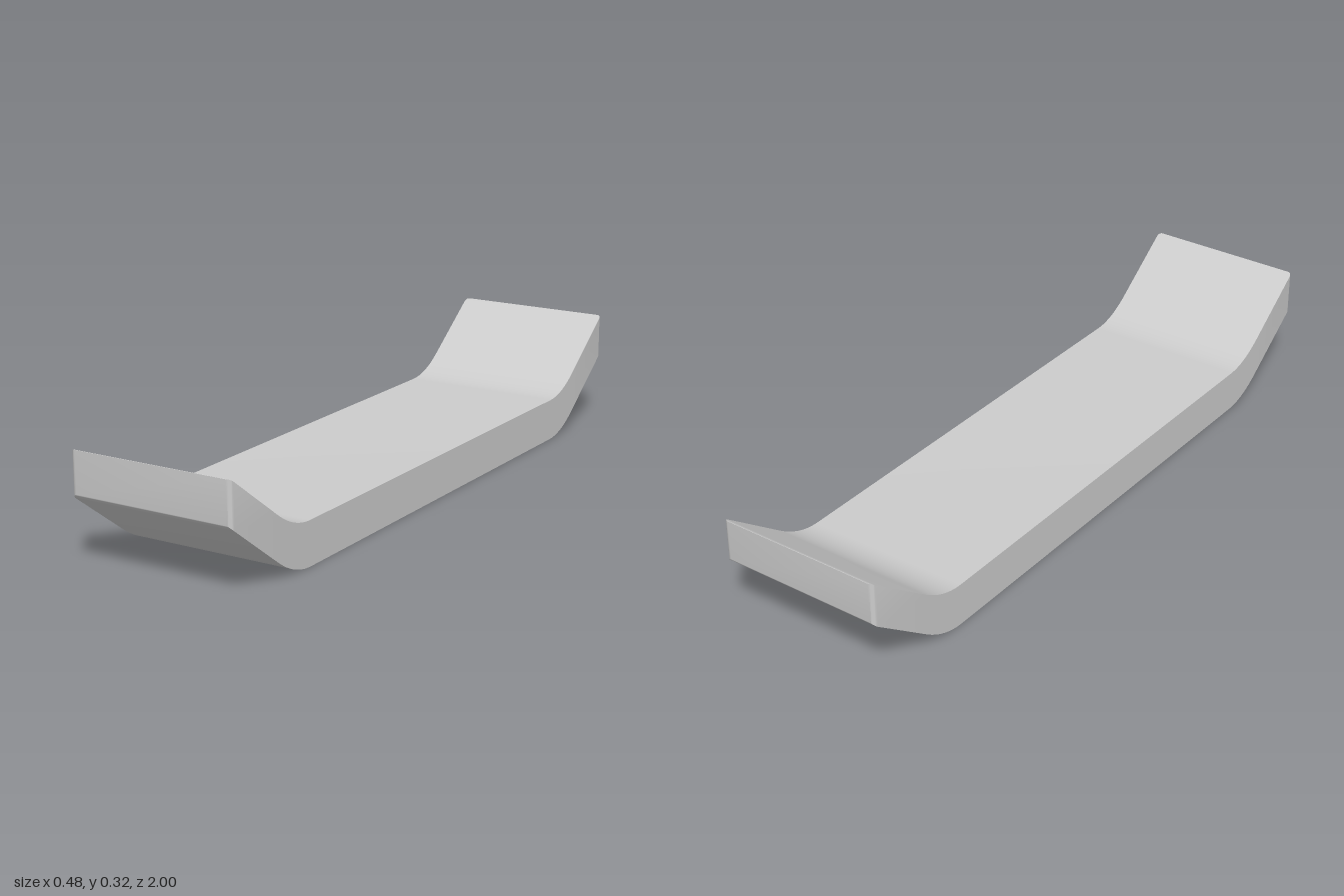
import * as THREE from 'three';
import { toCreasedNormals } from 'three/addons/utils/BufferGeometryUtils.js';

const HALF_WIDTH = 0.24, THICKNESS = 0.123;
const FLAT_END = 0.66, RAMP_START = 0.805, TIP_RISE = 0.198;
const CORNER = 0.014;

// Height of the underside: flat, then an easing bend, then a straight ramp
function rise(z) {
  const bend = RAMP_START - FLAT_END;
  const slope = TIP_RISE / (1 - RAMP_START + bend / 2);
  const d = Math.abs(z) - FLAT_END;
  if (d <= 0) return 0;
  return d < bend ? slope * d * d / (2 * bend) : slope * (d - bend / 2);
}

// Positions along the half length, closely spaced in the bend and at the rounded tip
function stations() {
  const half = [];
  const bendSteps = 14, tipSteps = 6;
  for (let i = 0; i <= bendSteps; i++) half.push(FLAT_END + (RAMP_START - FLAT_END) * i / bendSteps);
  for (let i = 0; i <= tipSteps; i++) half.push(1 - CORNER + CORNER * Math.sin(i / tipSteps * Math.PI / 2));
  return [...half.map(z => -z).reverse(), ...half];
}

export function createModel() {
  const group = new THREE.Group();
  group.name = 'curvedDeck';

  // Box bent up at both ends, with its tip corners rounded
  const zs = stations();
  const n = zs.length - 1;
  const geometry = new THREE.BoxGeometry(2, 1, n, 1, 1, n);
  const p = geometry.attributes.position;
  for (let i = 0; i < p.count; i++) {
    const z = zs[Math.round(p.getZ(i) + n / 2)];
    const t = Math.min(1, Math.max(0, (Math.abs(z) - 1 + CORNER) / CORNER));
    const inset = CORNER * (1 - Math.sqrt(1 - t * t));
    const top = p.getY(i) > 0;
    const y = rise(z) + (top ? THICKNESS - inset * 0.2 : inset * 0.4);
    p.setXYZ(i, p.getX(i) * (HALF_WIDTH - inset), y, z);
  }

  const deck = new THREE.Mesh(
    toCreasedNormals(geometry, 0.6),
    new THREE.MeshStandardMaterial({ color: 0xcccccc })
  );
  deck.name = 'deck';
  group.add(deck);
  return group;
}
